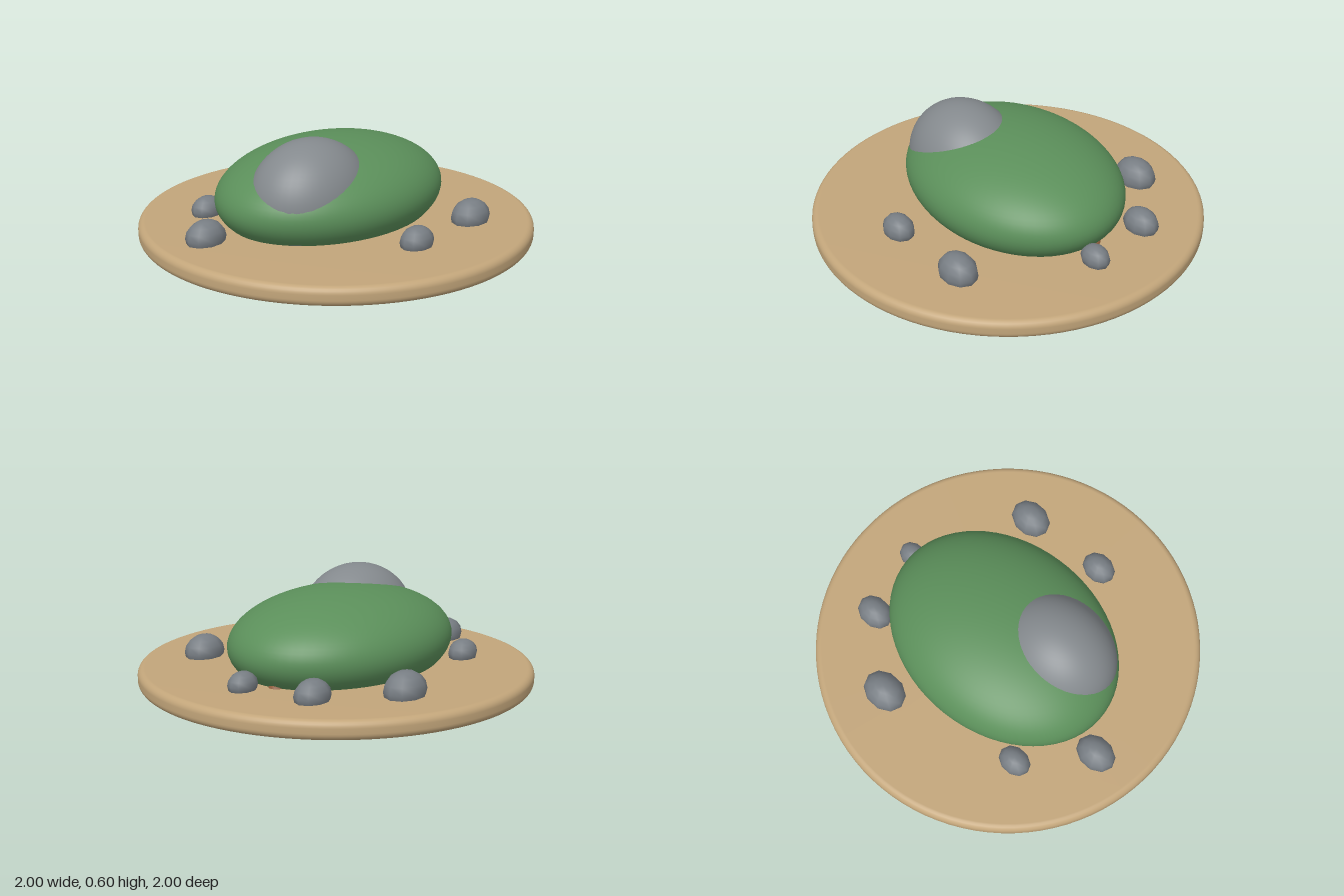
import * as THREE from 'three';

const mat = (color) => new THREE.MeshStandardMaterial({ color });

// Sphere stretched to the given radii
function ellipsoid(name, center, radii, material, widthSegs, heightSegs) {
  const geometry = new THREE.SphereGeometry(1, widthSegs, heightSegs);
  geometry.scale(...radii);
  const mesh = new THREE.Mesh(geometry, material);
  mesh.name = name;
  mesh.position.set(...center);
  return mesh;
}

// Round slab with a softly rounded rim
function roundSlab(radius, bottom, top, bevel) {
  const points = [new THREE.Vector2(0, bottom)];
  const corner = (y, start) => {
    for (let i = 0; i <= 6; i++) {
      const a = start + (i / 6) * (Math.PI / 2);
      points.push(new THREE.Vector2(radius - bevel + bevel * Math.cos(a), y + bevel * Math.sin(a)));
    }
  };
  corner(bottom + bevel, -Math.PI / 2);
  corner(top - bevel, 0);
  points.push(new THREE.Vector2(0, top));
  return new THREE.LatheGeometry(points, 96);
}

export function createModel() {
  const model = new THREE.Group();
  model.name = 'gardenIsland';
  const sand = mat(0xc2a57a);
  const green = mat(0x5b8f5a);
  const stone = mat(0x84898d);
  const pebbleGrey = mat(0x787e84);

  // Sandy base
  const base = new THREE.Mesh(roundSlab(1, 0.05, 0.145, 0.035), sand);
  base.name = 'sandBase';
  model.add(base);

  // Grassy mound, sunk through the base
  model.add(ellipsoid('mound', [-0.002, 0.27, -0.037], [0.648, 0.267, 0.498], green, 64, 40));

  // Boulder set into the mound
  model.add(ellipsoid('boulder', [-0.26, 0.31, 0.077], [0.33, 0.29, 0.272], stone, 48, 32));

  // Small brown lump tucked under the mound's side
  model.add(ellipsoid('brownLump', [0.53, 0.13, -0.1], [0.065, 0.04, 0.05], mat(0x8a5a3a), 16, 12));

  // Ring of pebbles: x, z, half width
  const pebbles = [
    [0.26, -0.64, 0.12],
    [0.6, -0.37, 0.1],
    [0.68, -0.005, 0.081],
    [0.37, 0.575, 0.113],
    [-0.085, 0.61, 0.094],
    [-0.74, -0.15, 0.108],
    [-0.47, -0.455, 0.088],
  ];
  const ring = new THREE.Group();
  ring.name = 'pebbles';
  for (const [x, z, r] of pebbles) {
    ring.add(ellipsoid('pebble', [x, 0.17, z], [r, r * 0.79, r * 0.78], pebbleGrey, 10, 8));
  }
  model.add(ring);

  return model;
}
